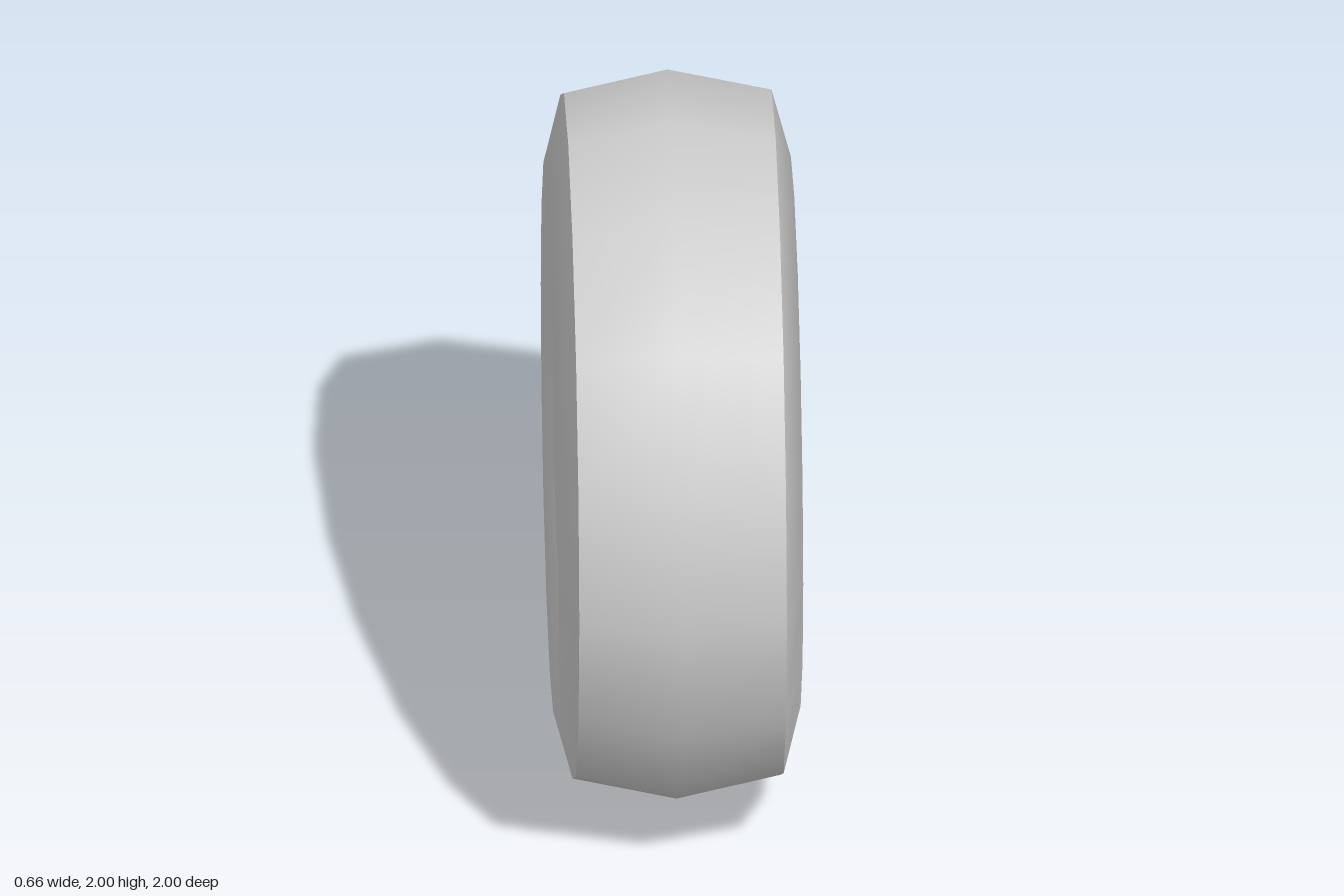
import * as THREE from 'three';
import { mergeGeometries } from 'three/addons/utils/BufferGeometryUtils.js';

const material = new THREE.MeshStandardMaterial({ color: 0xcccccc });

// Revolve a profile of [radius, x] pairs about the x axis
function revolve(points, sides) {
  const profile = points.map(([r, x]) => new THREE.Vector2(r, x));
  return new THREE.LatheGeometry(profile, sides).rotateZ(-Math.PI / 2);
}

// Revolve each stretch of a profile separately, so its corners stay sharp
function revolveSharp(points, sides) {
  return mergeGeometries(points.slice(1).map((p, i) => revolve([points[i], p], sides)));
}

export function createModel() {
  const wheel = new THREE.Group();
  wheel.name = 'wheel';
  wheel.position.y = 1;

  const add = (name, geometry) => {
    const mesh = new THREE.Mesh(geometry, material);
    mesh.name = name;
    wheel.add(mesh);
  };

  // Tyre: crowned tread and bulging sidewalls
  add('tread', revolve([[0.94, -0.28], [1, 0], [0.94, 0.28]], 16));
  const side = [[0.94, 0.28], [0.755, 0.33], [0.575, 0.265]];
  add('outerSidewall', revolve(side, 16));
  add('innerSidewall', revolve(side.map(([r, x]) => [r, -x]).reverse(), 16));

  // Outer face of the rim: flat ring and a raised disc
  add('rimFace', revolveSharp([[0.575, 0.265], [0.49, 0.265], [0.49, 0.3], [0, 0.3]].reverse()
    .reverse(), 16));

  // Raised hub cap on the outer disc
  add('hubCap', revolveSharp([[0.335, 0.3], [0.335, 0.33], [0, 0.33]], 8));

  // Deep recess on the inner side, with a small lip at its mouth
  add('rimRecess', revolveSharp(
    [[0, -0.13], [0.56, -0.13], [0.56, -0.245], [0.575, -0.245], [0.575, -0.265]], 16));

  // Axle hub standing in the recess
  add('axleHub', revolveSharp([[0, -0.31], [0.38, -0.31], [0.38, -0.13]], 8));

  const model = new THREE.Group();
  model.name = 'wheelModel';
  model.add(wheel);
  return model;
}
